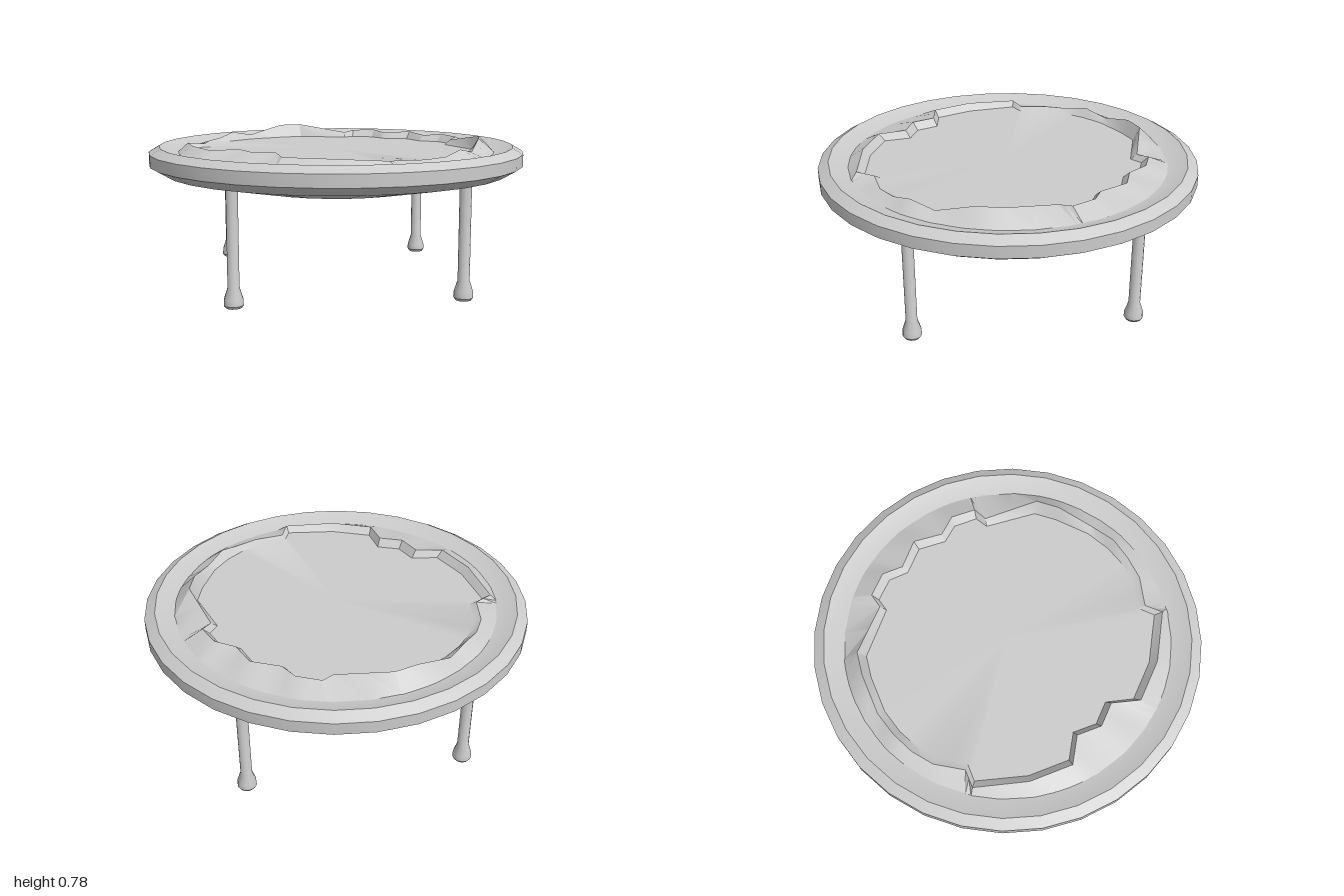
import * as THREE from 'three';
import { toCreasedNormals } from 'three/addons/utils/BufferGeometryUtils.js';

const material = new THREE.MeshStandardMaterial({ color: 0xcccccc });

function lathe(name, profile, sides, crease) {
  const points = profile.map(([r, y]) => new THREE.Vector2(r, y));
  const geometry = toCreasedNormals(new THREE.LatheGeometry(points, sides), crease);
  const mesh = new THREE.Mesh(geometry, material);
  mesh.name = name;
  return mesh;
}

// Right half of the jagged ridge, from back to front: [x, y, z]
const HALF_RIDGE = [
  [0, 0.75, -0.725], [0.14, 0.74, -0.66], [0.245, 0.75, -0.695], [0.365, 0.745, -0.645],
  [0.375, 0.735, -0.57], [0.63, 0.78, -0.44], [0.69, 0.78, -0.33], [0.76, 0.73, -0.14],
  [0.775, 0.755, 0], [0.765, 0.73, 0.12], [0.73, 0.725, 0.24], [0.635, 0.725, 0.37],
  [0.67, 0.735, 0.46], [0.45, 0.745, 0.63], [0.24, 0.745, 0.715], [0.12, 0.75, 0.625],
  [0, 0.75, 0.675],
];
const FLOOR_Y = 0.708;

// Ring that rises from the groove to the ridge, drops over a thin lip and closes with a flat floor
function createBasin() {
  const mirrored = HALF_RIDGE.slice(1, -1).reverse().map(([x, y, z]) => [-x, y, z]);
  const corners = [...HALF_RIDGE, ...mirrored].map((p) => new THREE.Vector3(...p));
  const ridge = corners.flatMap((p, i) => [p, p.clone().lerp(corners[(i + 1) % corners.length], 0.5)]);
  const n = ridge.length;

  const groove = ridge.map((p) => {
    const a = Math.atan2(p.x, p.z);
    return new THREE.Vector3(0.85 * Math.sin(a), 0.699, 0.85 * Math.cos(a));
  });
  const floorEdge = ridge.map((p) => new THREE.Vector3(p.x * 0.952, FLOOR_Y, p.z * 0.952));
  const loops = [groove, ridge, floorEdge];
  const vertices = [...loops.flat(), new THREE.Vector3(0, FLOOR_Y, 0)];

  const index = [];
  for (let i = 0; i < n; i++) {
    const j = (i + 1) % n;
    for (let k = 0; k < loops.length - 1; k++) {
      const a = k * n, b = a + n;
      index.push(a + i, b + i, b + j, a + i, b + j, a + j);
    }
    index.push(2 * n + i, 3 * n, 2 * n + j);
  }
  const geometry = new THREE.BufferGeometry().setFromPoints(vertices);
  geometry.setIndex(index);
  const mesh = new THREE.Mesh(toCreasedNormals(geometry, 0.5), material);
  mesh.name = 'basin';
  return mesh;
}

export function createModel() {
  const model = new THREE.Group();
  model.name = 'roundTable';

  // Shallow dish with bevelled rim, sloping in to the groove under the basin
  model.add(lathe('dish', [
    [0, 0.513], [0.5, 0.513], [0.92, 0.595], [1, 0.642], [1, 0.705],
    [0.945, 0.737], [0.84, 0.7], [0.6, 0.695],
  ], 32, 0.35));

  model.add(createBasin());

  // Four legs with flared feet
  for (let i = 0; i < 4; i++) {
    const a = (i * Math.PI) / 2;
    const leg = lathe('leg', [
      [0, 0], [0.04, 0], [0.05, 0.014], [0.048, 0.045], [0.03, 0.1], [0.03, 0.6],
    ], 12, 0.6);
    leg.position.set(0.81 * Math.sin(a), 0, 0.81 * Math.cos(a));
    model.add(leg);
  }
  return model;
}
